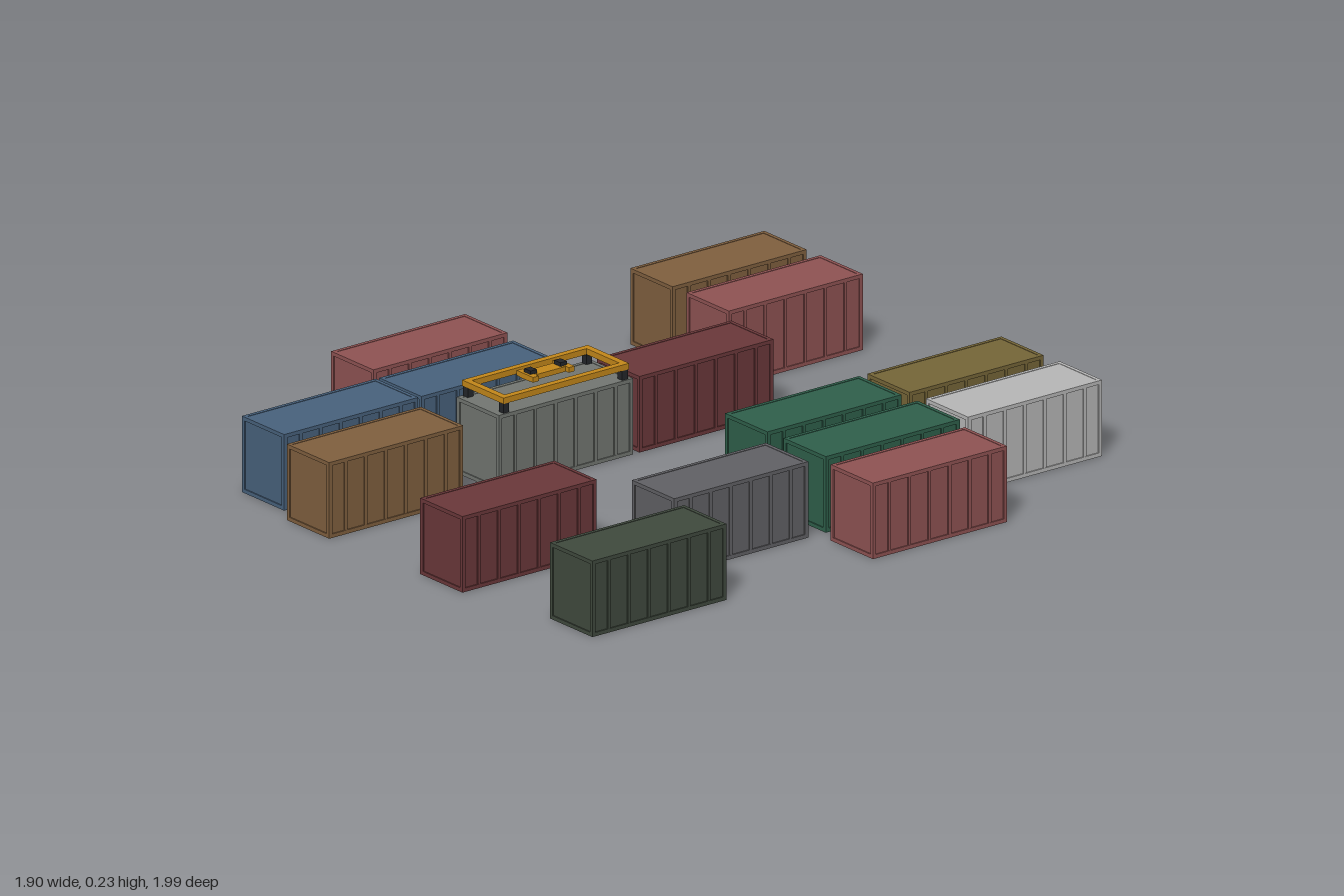
import * as THREE from 'three';

const L = 0.375, W = 0.149, H = 0.178;

const paint = (color) => new THREE.MeshStandardMaterial({ color, flatShading: true });
const dark = paint(0x24262a);
const yellow = paint(0xc4881a);

function box(parent, name, size, pos, material) {
  const mesh = new THREE.Mesh(new THREE.BoxGeometry(...size), material);
  mesh.name = name;
  mesh.position.set(...pos);
  parent.add(mesh);
  return mesh;
}

// One shipping container, long axis on x, doors at the +x end
function container(color) {
  const g = new THREE.Group();
  g.name = 'container';
  const mat = paint(color);
  const inset = 0.003, post = 0.009;
  box(g, 'body', [L - 2 * inset, H - 0.002, W - 2 * inset], [0, H / 2, 0], mat);

  // Corner posts and long rails
  for (const sz of [-1, 1]) {
    const z = sz * (W - post) / 2;
    for (const sx of [-1, 1]) {
      box(g, 'cornerPost', [post, H, post], [sx * (L - post) / 2, H / 2, z], mat);
    }
    for (const y of [post / 2, H - post / 2]) {
      box(g, 'sideRail', [L - 2 * post, post, post], [0, y, z], mat);
    }
    // Pressed ribs on the long walls
    for (let i = 0; i < 6; i++) {
      box(g, 'wallRib', [0.008, H - 2 * post, 0.003],
        [(i - 2.5) * 0.056, H / 2, sz * (W / 2 - inset + 0.001)], mat);
    }
  }
  // End rails
  for (const sx of [-1, 1]) {
    for (const y of [post / 2, H - post / 2]) {
      box(g, 'endRail', [post, post, W - 2 * post], [sx * (L - post) / 2, y, 0], mat);
    }
  }
  // Door seam and locking rods
  for (const z of [-0.036, 0, 0.036]) {
    box(g, z ? 'lockRod' : 'doorSeam', [0.003, H - 2 * post, z ? 0.005 : 0.003],
      [L / 2 - inset + 0.001, H / 2, z], dark);
  }
  return g;
}

// Lifting frame resting on top of a container
function spreader() {
  const g = new THREE.Group();
  g.name = 'spreader';
  const l = 0.352, w = 0.146, beam = 0.016, y = 0.208;
  for (const s of [-1, 1]) {
    box(g, 'longBeam', [l, 0.014, beam], [0, y, s * (w - beam) / 2], yellow);
    box(g, 'endBeam', [beam, 0.014, w - 2 * beam], [s * (l - beam) / 2, y, 0], yellow);
    // Twist-lock feet
    for (const t of [-1, 1]) {
      box(g, 'twistLock', [0.016, 0.024, 0.016],
        [s * (l / 2 - 0.01), 0.19, t * (w / 2 - 0.01)], dark);
    }
    // Head block ends and sheaves
    box(g, 'headCrossbar', [0.016, 0.012, 0.058], [s * 0.05, 0.217, 0], yellow);
    box(g, 'sheave', [0.018, 0.012, 0.022], [s * 0.042, 0.225, 0], dark);
  }
  box(g, 'headBlock', [0.116, 0.012, 0.034], [0, 0.216, 0], yellow);
  return g;
}

export function createModel() {
  const model = new THREE.Group();
  model.name = 'containerYard';
  const yard = new THREE.Group();
  yard.name = 'yard';
  yard.rotation.y = Math.PI / 6;
  model.add(yard);

  const brown = 0x80603f, rose = 0x905353, blue = 0x48627d, maroon = 0x6b383a;
  const green = 0x2f604b, olive = 0x766638, silver = 0xb8b8b8, slate = 0x616165;
  const forest = 0x404a3e, ash = 0x737772;

  // Rows across the yard: [z, [x, colour], ...]
  const rows = [
    [-0.612, [0.613, brown], [-0.224, rose]],
    [-0.416, [0.615, rose], [-0.245, blue], [-0.629, blue]],
    [-0.217, [-0.186, ash], [0.207, maroon], [-0.661, brown]],
    [0.229, [-0.642, maroon], [0.211, green], [0.609, olive]],
    [0.43, [-0.209, slate], [0.613, silver], [0.215, green]],
    [0.624, [-0.592, forest], [0.193, rose]],
  ];
  for (const [z, ...row] of rows) {
    for (const [x, color] of row) {
      const c = container(color);
      c.position.set(x, 0, z);
      yard.add(c);
    }
  }

  const frame = spreader();
  frame.position.set(-0.184, 0, -0.217);
  yard.add(frame);
  return model;
}
